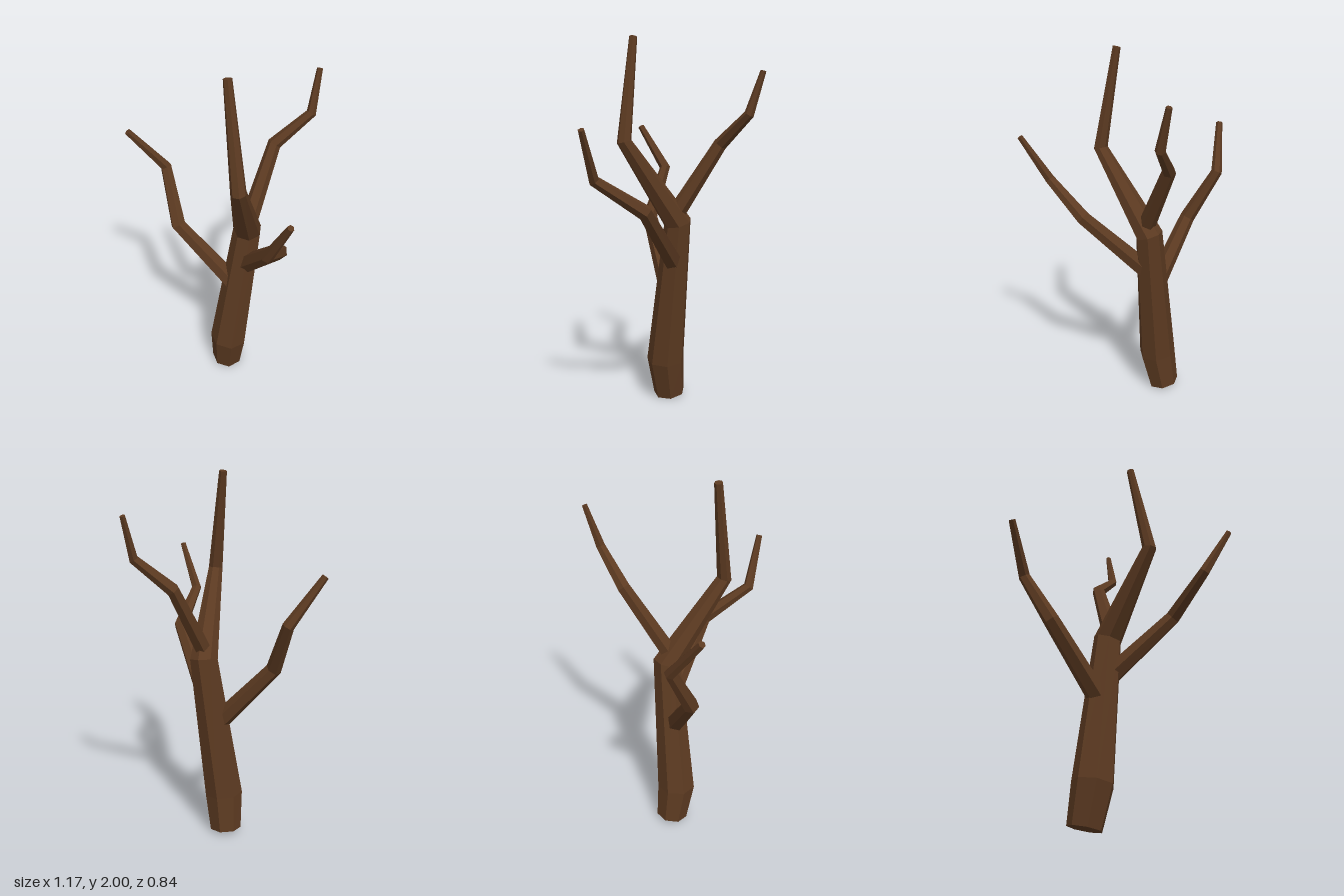
import * as THREE from 'three';

// Faceted tapering limb through stations [x, y, z, radius], with closed ends.
function limbGeometry(stations, sides) {
  const pts = stations.map(([x, y, z]) => new THREE.Vector3(x, y, z));
  const last = pts.length - 1;
  const dirs = pts.slice(1).map((p, i) => p.clone().sub(pts[i]).normalize());
  const u = new THREE.Vector3(0, 0, 1);
  const pos = [];
  const index = [];
  pts.forEach((p, k) => {
    // Each ring lies across the average of the two neighbouring directions.
    const t = dirs[Math.max(k - 1, 0)].clone().add(dirs[Math.min(k, last - 1)]).normalize();
    u.addScaledVector(t, -u.dot(t)).normalize();
    const v = t.clone().cross(u);
    for (let i = 0; i < sides; i++) {
      const a = (i / sides) * Math.PI * 2;
      const q = p.clone()
        .addScaledVector(u, Math.cos(a) * stations[k][3])
        .addScaledVector(v, Math.sin(a) * stations[k][3]);
      pos.push(q.x, q.y, q.z);
    }
  });
  for (let k = 0; k < last; k++) {
    for (let i = 0; i < sides; i++) {
      const a = k * sides + i;
      const b = k * sides + ((i + 1) % sides);
      index.push(a, b, b + sides, a, b + sides, a + sides);
    }
  }
  // End caps as fans
  const top = last * sides;
  for (let i = 1; i < sides - 1; i++) {
    index.push(0, i + 1, i, top, top + i, top + i + 1);
  }
  const indexed = new THREE.BufferGeometry();
  indexed.setAttribute('position', new THREE.Float32BufferAttribute(pos, 3));
  indexed.setIndex(index);
  const geometry = indexed.toNonIndexed();
  geometry.computeVertexNormals();
  return geometry;
}

export function createModel() {
  const group = new THREE.Group();
  group.name = 'bareTree';
  const bark = new THREE.MeshStandardMaterial({ color: 0x5c3a21, flatShading: true });
  bark.name = 'brown bark';

  const limbs = {
    // Leaning trunk that bends forward into the leader
    trunk: [7, [
      [-0.135, 0.02, 0.1, 0.088], [-0.1, 0.23, 0.115, 0.106], [-0.015, 1.03, 0.035, 0.076],
      [0.163, 1.47, 0.287, 0.039], [0.075, 1.997, 0.25, 0.021]]],
    rightBranch: [6, [
      [-0.06, 0.65, 0.09, 0.055], [-0.338, 1.012, 0.237, 0.042],
      [-0.482, 1.29, 0.168, 0.031], [-0.57, 1.53, 0.325, 0.018]]],
    leftBranch: [6, [
      [-0.03, 0.79, 0.05, 0.055], [0.312, 1.13, 0.16, 0.041],
      [0.427, 1.295, 0.383, 0.029], [0.57, 1.54, 0.403, 0.016]]],
    backBranch: [6, [
      [-0.003, 1.07, 0.05, 0.048], [-0.03, 1.45, -0.19, 0.036],
      [0.083, 1.607, -0.342, 0.026], [0.07, 1.823, -0.41, 0.015]]],
  };

  for (const [name, [sides, stations]] of Object.entries(limbs)) {
    const mesh = new THREE.Mesh(limbGeometry(stations, sides), bark);
    mesh.name = name;
    group.add(mesh);
  }
  return group;
}
